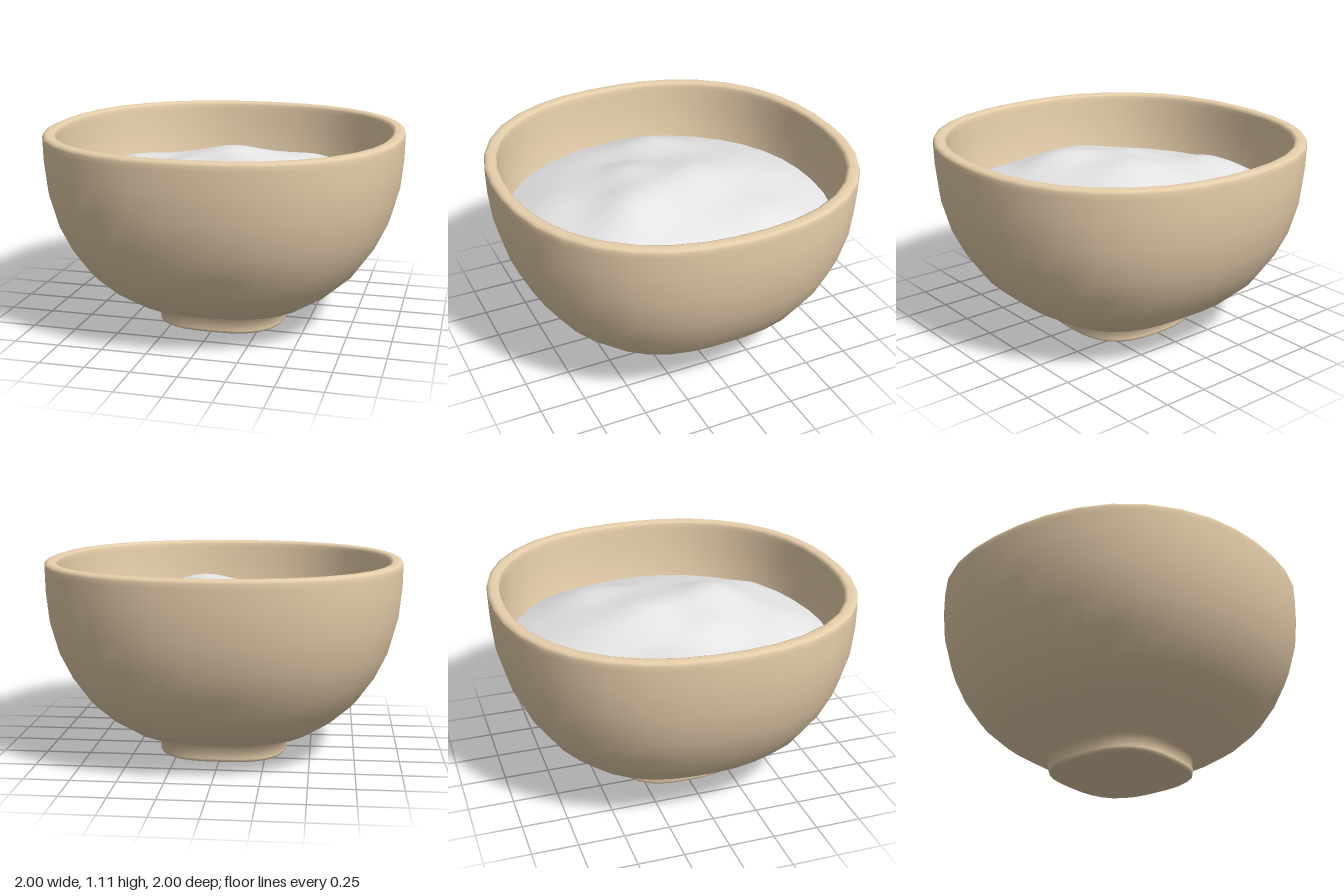
import * as THREE from 'three';

const SEGMENTS = 36;

// Radius factor of a rounded square outline; a higher power is squarer
const outline = (angle, power) =>
  (Math.abs(Math.cos(angle)) ** power + Math.abs(Math.sin(angle)) ** power) ** (-1 / power);

// Sweep a [radius, height] profile around the rounded square outline
function sweep(profile, height = (x, z, y) => y) {
  const positions = [];
  const index = [];
  profile.forEach(([radius, y], i) => {
    const power = 2.27 + 0.58 * THREE.MathUtils.clamp((1 - radius) / 0.63, 0, 1) ** 2;
    for (let j = 0; j < SEGMENTS; j++) {
      const angle = ((j + 0.5) / SEGMENTS) * Math.PI * 2;
      const r = radius * outline(angle, power);
      const x = r * Math.cos(angle);
      const z = r * Math.sin(angle);
      positions.push(x, height(x, z, y), z);
      if (i === profile.length - 1) continue;
      const next = (j + 1) % SEGMENTS;
      const a = i * SEGMENTS + j;
      const b = a + SEGMENTS;
      const c = i * SEGMENTS + next;
      const d = c + SEGMENTS;
      index.push(a, b, c, b, d, c);
    }
  });
  const geometry = new THREE.BufferGeometry();
  geometry.setAttribute('position', new THREE.Float32BufferAttribute(positions, 3));
  geometry.setIndex(index);
  geometry.computeVertexNormals();
  return geometry;
}

// Soft lumps of the filling: x, z, height, spread
const lumps = [
  [-0.62, -0.15, 0.05, 0.2], [-0.4, 0.12, -0.03, 0.2],
  [0.02, -0.12, 0.05, 0.22], [-0.28, 0.16, 0.04, 0.16],
  [0.1, 0.28, 0.05, 0.2], [0.5, -0.38, 0.05, 0.22],
  [0.72, -0.15, -0.02, 0.18], [0.26, 0.38, 0.04, 0.18],
  [0.45, 0.66, 0.03, 0.15], [-0.05, -0.45, 0.02, 0.25],
  [-0.15, 0.65, 0.03, 0.2],
];
// Lumps on top of a dome
const lumpy = (x, z, y) => lumps.reduce(
  (sum, [cx, cz, h, s]) => sum + h * Math.exp(-((x - cx) ** 2 + (z - cz) ** 2) / (s * s)),
  y + 0.17 * (1 - (x * x + z * z) / 0.85),
);

export function createModel() {
  const group = new THREE.Group();
  const clay = new THREE.MeshStandardMaterial({ color: 0xe7cfab });
  clay.name = 'tan clay';
  const grey = new THREE.MeshStandardMaterial({ color: 0xe8e8e8 });
  grey.name = 'light grey filling';

  const add = (name, geometry, material) => {
    const mesh = new THREE.Mesh(geometry, material);
    mesh.name = name;
    group.add(mesh);
  };

  // Flat underside of the foot
  add('footBase', sweep([[0.001, 0], [0.2, 0], [0.352, 0]]), clay);

  // Foot flowing into the outer wall, rounded lip and inner wall
  add('bowl', sweep([
    [0.352, 0], [0.362, 0.006], [0.366, 0.02], [0.366, 0.097],
    [0.52, 0.145], [0.65, 0.225], [0.77, 0.33], [0.865, 0.465],
    [0.935, 0.61], [0.982, 0.785], [0.998, 0.95], [1, 1.06],
    [1, 1.085], [0.995, 1.099], [0.98, 1.105], [0.95, 1.105], [0.936, 1.099], [0.931, 1.085],
    [0.929, 1.06], [0.922, 0.95], [0.905, 0.79], [0.86, 0.61], [0.79, 0.465],
    [0.6, 0.27], [0.3, 0.16], [0.001, 0.13],
  ]), clay);

  // Uneven surface of the filling, swept from the edge to the middle
  const rings = Array.from({ length: 19 }, (_, i) => [Math.max(0.001, 0.906 * (1 - i / 18)), 0.75]);
  add('filling', sweep(rings, lumpy), grey);

  return group;
}
